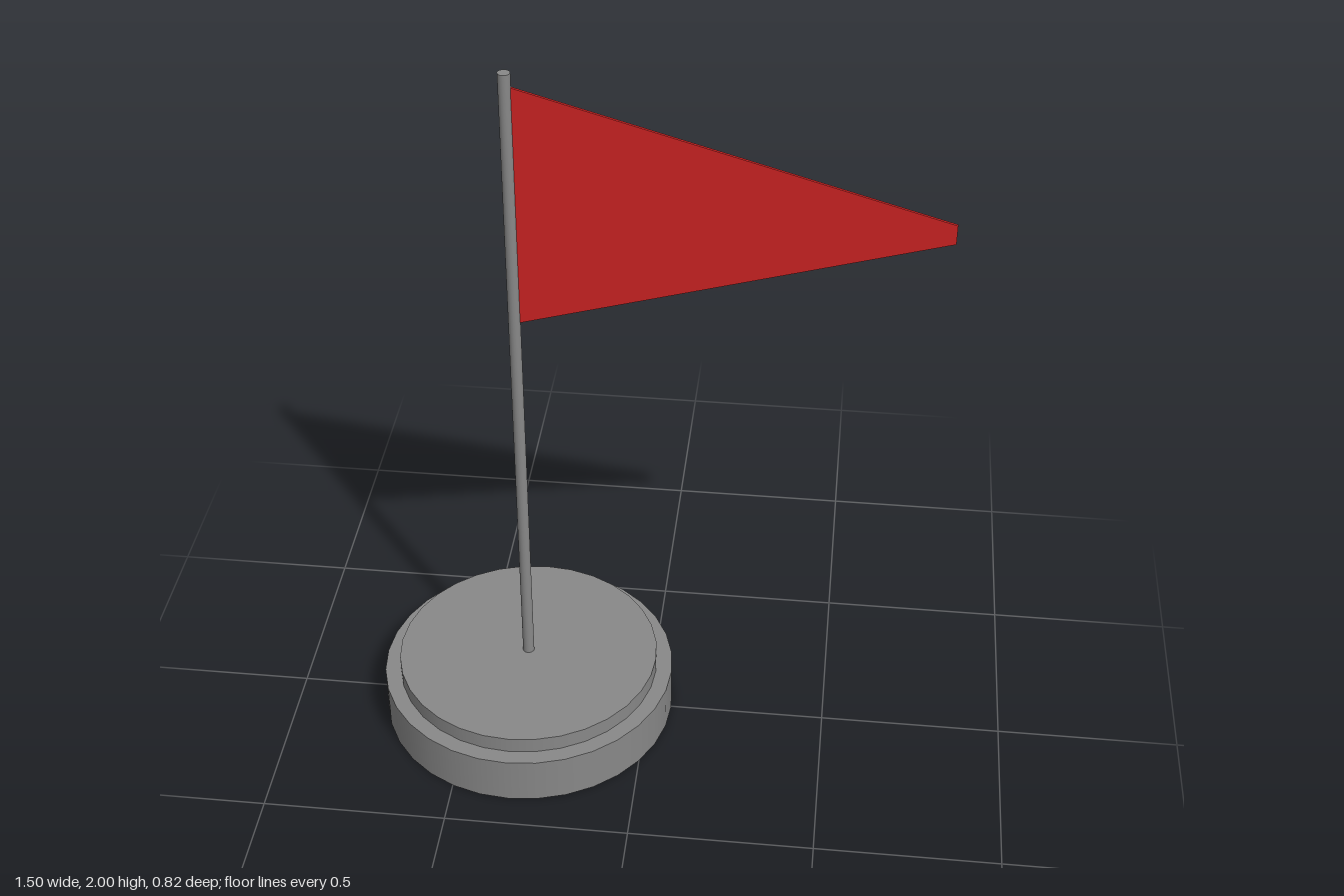
import * as THREE from 'three';

const POLE_X = -0.34;

export function createModel() {
  const grey = new THREE.MeshStandardMaterial({ color: 0x888888 });
  grey.name = 'grey metal';
  const red = new THREE.MeshStandardMaterial({ color: 0xcc2222 });
  red.name = 'red cloth';

  const model = new THREE.Group();
  model.name = 'pennantOnStand';

  // Upright cylinder between two heights on the pole axis
  const addCylinder = (name, radius, bottom, top, sides) => {
    const geometry = new THREE.CylinderGeometry(radius, radius, top - bottom, sides);
    const mesh = new THREE.Mesh(geometry, grey);
    mesh.name = name;
    mesh.position.set(POLE_X, (bottom + top) / 2, 0);
    model.add(mesh);
  };

  addCylinder('base', 0.408, 0, 0.136, 32);
  addCylinder('baseStep', 0.364, 0.136, 0.182, 32);
  addCylinder('pole', 0.016, 0.182, 2, 16);

  // Thin tapering pennant with a blunt tip
  const outline = new THREE.Shape([
    new THREE.Vector2(POLE_X + 0.012, 1.298),
    new THREE.Vector2(0.748, 1.603),
    new THREE.Vector2(0.748, 1.655),
    new THREE.Vector2(POLE_X + 0.012, 1.963),
  ]);
  const depth = 0.007;
  const flagGeometry = new THREE.ExtrudeGeometry(outline, { depth, bevelEnabled: false });
  flagGeometry.translate(0, 0, -depth / 2);
  const flag = new THREE.Mesh(flagGeometry, red);
  flag.name = 'flag';
  model.add(flag);

  return model;
}
